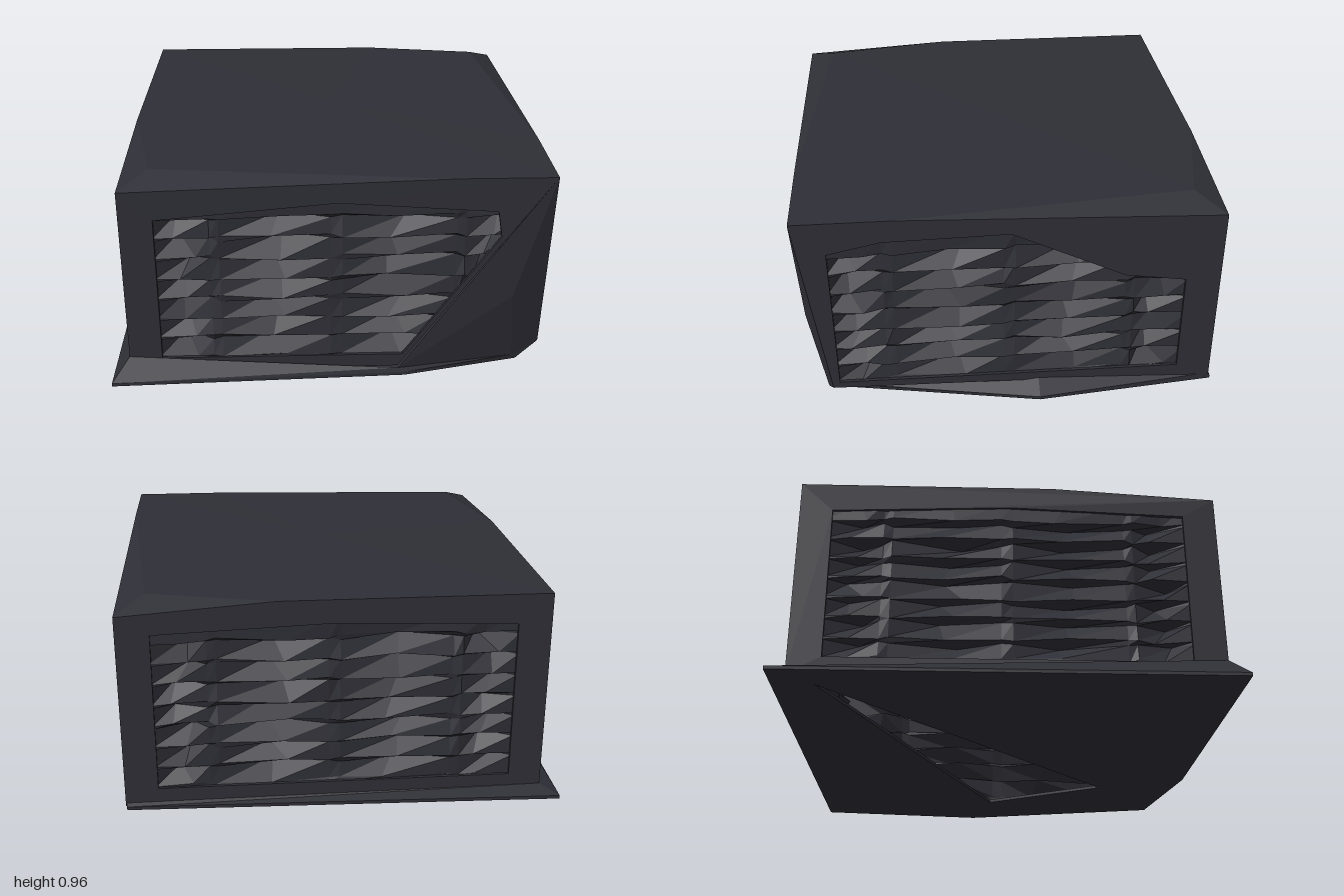
import * as THREE from 'three';

const HALF = 0.925, TOP = 0.955;

// small seeded jitter in -1..1
function makeRandom(seed) {
  let s = seed;
  return () => {
    s = (s * 16807) % 2147483647;
    return (s / 2147483647) * 2 - 1;
  };
}

const points = list => list.map(([x, y]) => new THREE.Vector2(x, y));

// triangles from a list of corners
function faces(corners) {
  const g = new THREE.BufferGeometry();
  g.setAttribute('position', new THREE.Float32BufferAttribute(corners.flat(), 3));
  g.computeVertexNormals();
  return g;
}

// wall frame with an opening, outer face at z = HALF
function frameGeometry(outline, opening) {
  const shape = new THREE.Shape(points(outline));
  shape.holes.push(new THREE.Path(points(opening)));
  const g = new THREE.ExtrudeGeometry(shape, { depth: 0.015, bevelEnabled: false });
  return g.translate(0, 0, HALF - 0.015);
}

// crumpled louvres: a pleated sheet held by three upright ribs, cut off at x = limit(y)
function louvreGeometry(seed, limit) {
  const rand = makeRandom(seed);
  const cols = [-0.79, -0.66, -0.55, -0.51, -0.25, -0.03, 0.02, 0.25, 0.51, 0.55, 0.66, 0.79];
  const ribs = [2, 3, 5, 6, 8, 9];
  const rows = 16, bottom = 0.09, height = 0.78;
  const g = new THREE.PlaneGeometry(1, 1, cols.length - 1, rows);
  const p = g.attributes.position;
  for (let r = 0; r <= rows; r++) {
    for (let c = 0; c < cols.length; c++) {
      const edge = r === 0 || r === rows || c === 0 || c === cols.length - 1;
      const rib = ribs.includes(c);
      let depth = r % 2 ? 0.015 : 0.08;
      if (rib) depth = r % 2 ? 0.015 : 0.03;
      if (edge) depth = 0.012;
      // outer creases hang low, so undersides lie almost level
      const drop = r % 2 ? 0.036 : 0;
      const y = bottom + height * (1 - r / rows) - drop + (edge ? 0 : rand() * 0.012);
      const x = cols[c] + (edge || rib ? 0 : rand() * 0.05);
      p.setXYZ(r * cols.length + c, Math.min(x, limit(y)), y, HALF - depth + (edge ? 0 : rand() * 0.01));
    }
  }
  const flat = g.toNonIndexed();
  flat.computeVertexNormals();
  return flat;
}

export function createModel() {
  const model = new THREE.Group();
  model.name = 'ventedBox';
  const charcoal = new THREE.MeshStandardMaterial({ color: 0x2e2e36, flatShading: true, side: THREE.DoubleSide });
  charcoal.name = 'charcoal';

  const add = (parent, geometry, name) => {
    const mesh = new THREE.Mesh(geometry, charcoal);
    mesh.name = name;
    parent.add(mesh);
    return mesh;
  };

  // four vented walls; the front and right ones stop at a dented corner
  const opening = [[-0.78, 0.1], [0.78, 0.1], [0.78, 0.82], [0, 0.85], [-0.78, 0.82]];
  const full = () => 0.79;
  const walls = [
    { name: 'front', turn: 0, limit: y => Math.min(0.79, 0.27 + (y - 0.04) * 0.71),
      outline: [[-HALF, 0.02], [0.27, 0.04], [HALF, TOP], [0.5, TOP], [-HALF, 0.91]],
      opening: [[-0.78, 0.1], [0.29, 0.1], [0.7, 0.68], [0.68, 0.8], [0, 0.85], [-0.78, 0.78]] },
    { name: 'right', turn: Math.PI / 2, limit: full,
      outline: [[-0.8, 0.08], [0.13, 0.06], [HALF, 0.03], [HALF, 0.905], [-0.5, TOP], [-HALF, TOP]],
      opening: [[-0.77, 0.11], [0.77, 0.1], [0.77, 0.58], [0.5, 0.62], [0, 0.86], [-0.55, 0.85], [-0.78, 0.8]] },
    { name: 'back', turn: Math.PI, limit: full, opening,
      outline: [[-HALF, 0.02], [HALF, 0.02], [HALF, TOP], [-0.25, TOP], [-HALF, 0.905]] },
    { name: 'left', turn: -Math.PI / 2, limit: full, opening,
      outline: [[-HALF, 0.02], [HALF, 0.02], [HALF, 0.91], [0.2, TOP], [-HALF, TOP]] },
  ];
  walls.forEach((w, i) => {
    const wall = new THREE.Group();
    wall.name = w.name + 'Wall';
    add(wall, frameGeometry(w.outline, w.opening), w.name + 'Frame');
    add(wall, louvreGeometry(101 + i * 977, w.limit), w.name + 'Louvres');
    wall.rotation.y = w.turn;
    model.add(wall);
  });

  // dented corner: a flap folded in from the front and a facet meeting the right wall
  const peak = [HALF, TOP, HALF], toe = [0.27, 0.04, 0.945], fold = [0.77, 0.38, 0.91];
  const foot = [0.8, 0.03, 0.84], heel = [HALF, 0.08, 0.8];
  add(model, faces([toe, fold, peak, toe, foot, fold]), 'cornerFlap');
  add(model, faces([peak, fold, heel, fold, foot, heel]), 'cornerFacet');

  // lid: a shallow crown with two corners bent down
  const rim = [[-HALF, TOP, -HALF], [0.25, TOP, -HALF], [0.8, 0.963, -0.8], [HALF, TOP, 0.5],
    [HALF, TOP, HALF], [0.5, TOP, HALF], [-0.8, 0.963, 0.8], [-HALF, TOP, 0.2]];
  const lid = [];
  rim.forEach((a, i) => lid.push([0, 0.966, 0], rim[(i + 1) % rim.length], a));
  const bentCorners = [[1, [HALF, 0.905, -HALF]], [5, [-HALF, 0.91, HALF]]];
  bentCorners.forEach(([i, corner]) => {
    lid.push(corner, rim[i], rim[i + 1], corner, rim[i + 1], rim[i + 2]);
  });
  add(model, faces(lid), 'lid');

  // flared skirt: inner loop on the walls, outer loop near the ground
  const inner = [[-HALF, 0.045, -HALF], [-HALF, 0.11, HALF], toe, foot, heel,
    [HALF, 0.07, -0.13], [0.92, 0.035, -HALF]];
  const outer = [[-1, 0.02, -1], [-1, 0.02, 1], [0.3, 0.02, 0.95], [0.82, 0.005, 0.83],
    [0.85, 0.015, 0.67], [1, 0.02, -0.13], [0.92, 0.02, -0.935]];
  const skirt = [];
  outer.forEach((o, i) => {
    const j = (i + 1) % outer.length;
    skirt.push(o, outer[j], inner[j], o, inner[j], inner[i]);
  });
  add(model, faces(skirt), 'skirt');

  // floor plate with a three-cornered gap
  const floor = new THREE.Shape(points(outer.map(([x, , z]) => [x, -z])));
  floor.holes.push(new THREE.Path(points([[0.71, 0.04], [-0.85, 0.81], [0.44, -0.53]])));
  const floorPlate = new THREE.ExtrudeGeometry(floor, { depth: 0.015, bevelEnabled: false });
  add(model, floorPlate.rotateX(-Math.PI / 2), 'floorPlate').position.y = 0.005;

  return model;
}
